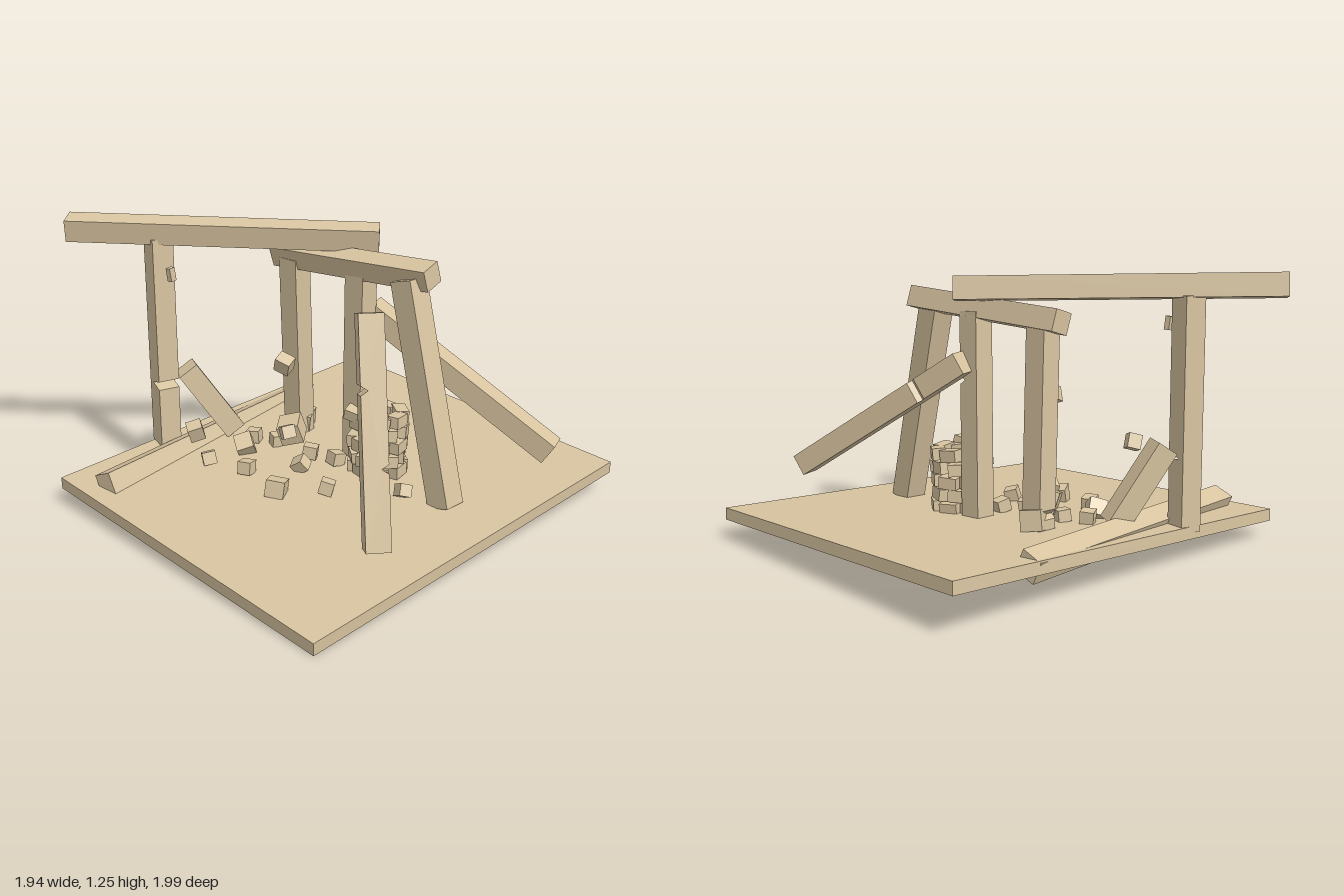
import * as THREE from 'three';

const stone = new THREE.MeshStandardMaterial({ color: 0xd8c4a0, flatShading: true });

// small seeded generator for rubble angles
let seed = 7;
const rand = () => (seed = (seed * 16807) % 2147483647) / 2147483647;

const groundY = (x, z) => 0.1415 - 0.0487 * x - 0.0447 * z;

// Squared beam from a to b; "facing" sets which way its depth points.
// notches: [fraction along, side -1/1, depth] cut V-shaped cracks.
function beam(name, a, b, w, d, facing, notches = []) {
  const A = new THREE.Vector3(...a), B = new THREE.Vector3(...b);
  const along = B.clone().sub(A), L = along.length();
  along.normalize();
  const z = new THREE.Vector3(...facing);
  z.addScaledVector(along, -z.dot(along)).normalize();
  const x = along.clone().cross(z);

  const edge = side => notches.filter(n => n[1] === side).flatMap(([t, s, dep]) => [
    [s * w / 2, t * L - 0.02], [s * (w / 2 - dep), t * L], [s * w / 2, t * L + 0.02],
  ]);
  const pts = [[-w / 2, 0], [w / 2, 0], ...edge(1), [w / 2, L], [-w / 2, L], ...edge(-1).reverse()];
  const shape = new THREE.Shape(pts.map(p => new THREE.Vector2(...p)));
  const geo = new THREE.ExtrudeGeometry(shape, { depth: d, bevelEnabled: false });
  geo.translate(0, 0, -d / 2);

  const mesh = new THREE.Mesh(geo, stone);
  mesh.name = name;
  mesh.quaternion.setFromRotationMatrix(new THREE.Matrix4().makeBasis(x, along, z));
  mesh.position.copy(A);
  return mesh;
}

function block(name, x, y, z, size, rot) {
  const mesh = new THREE.Mesh(new THREE.BoxGeometry(...size), stone);
  mesh.name = name;
  mesh.position.set(x, y, z);
  mesh.rotation.set(...rot);
  return mesh;
}

export function createModel() {
  const model = new THREE.Group();
  model.name = 'ruin';
  seed = 7;

  // tilted floor slab
  model.add(beam('floorSlab', [0.08, 0.083, -0.005], [0.0827, 0.138, -0.0025], 1.645, 1.885, [0.064, 0, 0.998]));

  // standing pillars
  model.add(
    beam('frontPillar', [-0.665, 0.13, 0.43], [-0.663, 1.15, 0.425], 0.1, 0.1, [-0.17, 0, 1], [[0.32, 1, 0.07]]),
    beam('rearLeftPillar', [-0.342, 0.14, -0.12], [-0.32, 1.04, -0.08], 0.1, 0.1, [0.15, 0, 1], [[0.1, -1, 0.02]]),
    beam('rearMiddlePillar', [0.02, 0.12, -0.17], [0.055, 1.06, -0.15], 0.1, 0.1, [0.15, 0, 1], [[0.68, 1, 0.03]]),
  );

  // leaning pillars
  model.add(
    beam('rearLeaningPillar', [0.605, 0.115, -0.155], [0.345, 1.07, -0.155], 0.11, 0.11, [0.1, 0, 1]),
    beam('frontLeaningPillar', [0.7, 0.115, 0.335], [0.468, 1.025, 0.18], 0.105, 0.105, [0.83, 0, 0.55],
      [[0.35, 1, 0.03], [0.68, -1, 0.03]]),
  );

  // lintels resting on the pillars
  model.add(
    beam('upperLintel', [-0.938, 1.192, 0.722], [0.03, 1.165, -0.28], 0.105, 0.1, [0.12, 1, 0.12]),
    beam('lowerLintel', [-0.42, 1.047, -0.065], [0.44, 1.092, -0.2], 0.1, 0.095, [0, 1, 0.3]),
  );

  // fallen beams
  model.add(
    beam('slantedBeam', [0.8, 0.305, -0.605], [0.03, 0.845, -0.235], 0.105, 0.1, [0, 1, 0], [[0.75, 1, 0.02]]),
    beam('lyingBeam', [-0.46, 0.145, 0.89], [-0.71, 0.165, -0.475], 0.1, 0.1, [-0.4, 0.9, 0]),
    beam('brokenPillarPiece', [-0.535, 0.18, 0.135], [-0.625, 0.51, 0.335], 0.1, 0.1, [-0.4, 0, 1]),
  );

  // curved stack of bricks, the upper courses only partly standing
  const stack = new THREE.Group();
  stack.name = 'brickStack';
  const courses = [[0, 7], [0, 7], [0, 7], [1, 6], [1, 5]];
  courses.forEach(([first, last], row) => {
    for (let i = first; i < last; i++) {
      const t = (i + (row % 2) * 0.4) / 7 * Math.PI * 2;
      const r = 0.095 + (rand() - 0.5) * 0.02;
      stack.add(block('brick', 0.19 + Math.sin(t) * r, 0.165 + row * 0.06, -0.14 + Math.cos(t) * r,
        [0.085, 0.054, 0.06], [(rand() - 0.5) * 0.25, t + (rand() - 0.5) * 0.3, (rand() - 0.5) * 0.25]));
    }
  });
  stack.add(block('brick', 0.07, 0.385, -0.1, [0.07, 0.05, 0.06], [0.2, 0.4, -0.3]));
  stack.add(block('brick', 0.265, 0.42, -0.07, [0.075, 0.07, 0.06], [0.1, 0.3, 0.15]));
  model.add(stack);

  // loose rubble on the floor: x, z, size, lift above the floor
  const rubble = new THREE.Group();
  rubble.name = 'rubble';
  const loose = [
    [-0.16, 0.1, 0.065, 0.1], [-0.03, 0.13, 0.065, 0], [-0.17, 0.33, 0.065, 0], [0.06, 0.34, 0.085, -0.01],
    [0.2, 0.17, 0.065, 0], [0.03, -0.03, 0.065, 0], [0.45, -0.05, 0.06, 0.01], [-0.35, 0.41, 0.065, 0],
    [-0.33, 0.22, 0.085, 0], [-0.23, 0.02, 0.11, 0.04], [-0.35, -0.15, 0.1, 0], [-0.08, 0.03, 0.065, 0.01],
    [0.3, -0.02, 0.06, 0], [-0.39, 0.12, 0.065, 0], [-0.29, 0.06, 0.06, 0],
  ];
  for (const [x, z, s, lift] of loose) {
    rubble.add(block('rubbleBlock', x, groundY(x, z) + s * 0.45 + lift, z, [s, s * 0.9, s * 0.95],
      [(rand() - 0.5) * 0.9, rand() * 3, (rand() - 0.5) * 0.9]));
  }
  model.add(rubble);

  // blocks caught in mid-fall
  model.add(
    block('fallingBlock', -0.05, 0.665, 0.2, [0.07, 0.07, 0.06], [0.4, 0.3, -0.5]),
    block('fallingBlock', -0.18, 0.415, 0.59, [0.06, 0.07, 0.065], [0.3, -0.5, -0.2]),
    block('fallingChip', -0.517, 1.015, 0.46, [0.025, 0.06, 0.03], [0.1, 0.2, 0.05]),
  );

  return model;
}
